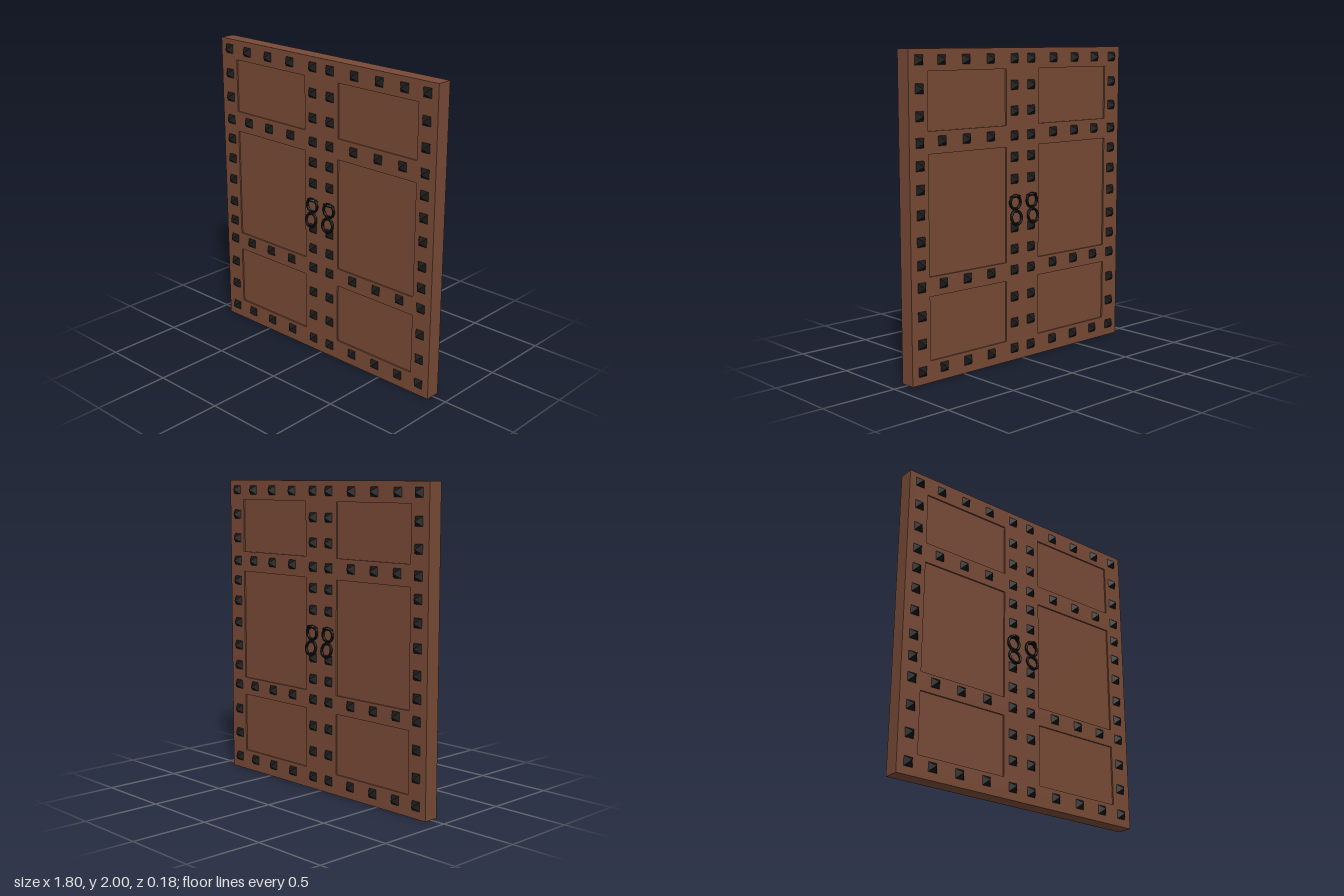
import * as THREE from 'three';

const wood = new THREE.MeshStandardMaterial({ color: 0x784a36 });
const iron = new THREE.MeshStandardMaterial({ color: 0x161616, flatShading: true });
const HALF = 0.05; // half the door thickness

// Panel openings as [x0, x1, y0, y1], mirrored on both leaves
const openings = [];
for (const [y0, y1] of [[0.135, 0.53], [0.65, 1.385], [1.52, 1.87]]) {
  openings.push([-0.76, -0.14, y0, y1], [0.14, 0.76, y0, y1]);
}

function rect(target, x0, x1, y0, y1) {
  target.moveTo(x0, y0);
  target.lineTo(x1, y0);
  target.lineTo(x1, y1);
  target.lineTo(x0, y1);
  target.closePath();
  return target;
}

function add(parent, name, geometry, material, x, y, z) {
  const mesh = new THREE.Mesh(geometry, material);
  mesh.name = name;
  mesh.position.set(x, y, z);
  parent.add(mesh);
  return mesh;
}

// Square pyramid pointing along +z
function studGeometry() {
  return new THREE.ConeGeometry(0.03 * Math.SQRT2, 0.04, 4)
    .rotateY(Math.PI / 4).rotateX(Math.PI / 2).translate(0, 0, 0.02);
}

// Studs and ring pulls of one face of the door
function createIronwork() {
  const face = new THREE.Group();
  const stud = studGeometry();
  const columnY = [0.08, 0.25, 0.42, 0.595, 0.73, 0.87, 1.03, 1.18, 1.32, 1.455, 1.61, 1.77, 1.935];
  const ring = new THREE.TorusGeometry(0.043, 0.009, 8, 20);
  const loop = new THREE.TorusGeometry(0.031, 0.009, 8, 20);
  for (const s of [-1, 1]) {
    for (const y of columnY) {
      add(face, 'stud', stud, iron, s * 0.822, y, HALF);
      if (y !== 1.03) add(face, 'stud', stud, iron, s * 0.072, y, HALF);
    }
    for (const y of [0.08, 0.6, 1.46, 1.935]) {
      for (const x of [0.27, 0.465, 0.655]) add(face, 'stud', stud, iron, s * x, y, HALF);
    }
    // Fixed ring, its mounting loop and the hanging pull
    add(face, 'mountRing', ring, iron, s * 0.072, 1.032, 0.06);
    add(face, 'mountLoop', loop, iron, s * 0.072, 1.064, 0.053).rotation.x = 1.2;
    add(face, 'pullRing', ring, iron, s * 0.072, 0.935, 0.071).rotation.x = -0.16;
  }
  return face;
}

export function createModel() {
  const door = new THREE.Group();
  door.name = 'doubleDoor';

  // Frame with panel openings
  const outline = rect(new THREE.Shape(), -0.9, 0.9, 0, 2);
  for (const o of openings) outline.holes.push(rect(new THREE.Path(), ...o));
  const frame = new THREE.ExtrudeGeometry(outline, { depth: 2 * HALF, bevelEnabled: false });
  add(door, 'frame', frame, wood, 0, 0, -HALF);

  // Slightly recessed panels
  for (const [x0, x1, y0, y1] of openings) {
    const panel = new THREE.BoxGeometry(x1 - x0, y1 - y0, 2 * HALF - 0.02);
    add(door, 'panel', panel, wood, (x0 + x1) / 2, (y0 + y1) / 2, 0);
  }

  // The same ironwork on both faces
  const front = createIronwork();
  front.name = 'frontIronwork';
  const back = createIronwork();
  back.name = 'backIronwork';
  back.rotation.y = Math.PI;
  door.add(front, back);
  return door;
}
